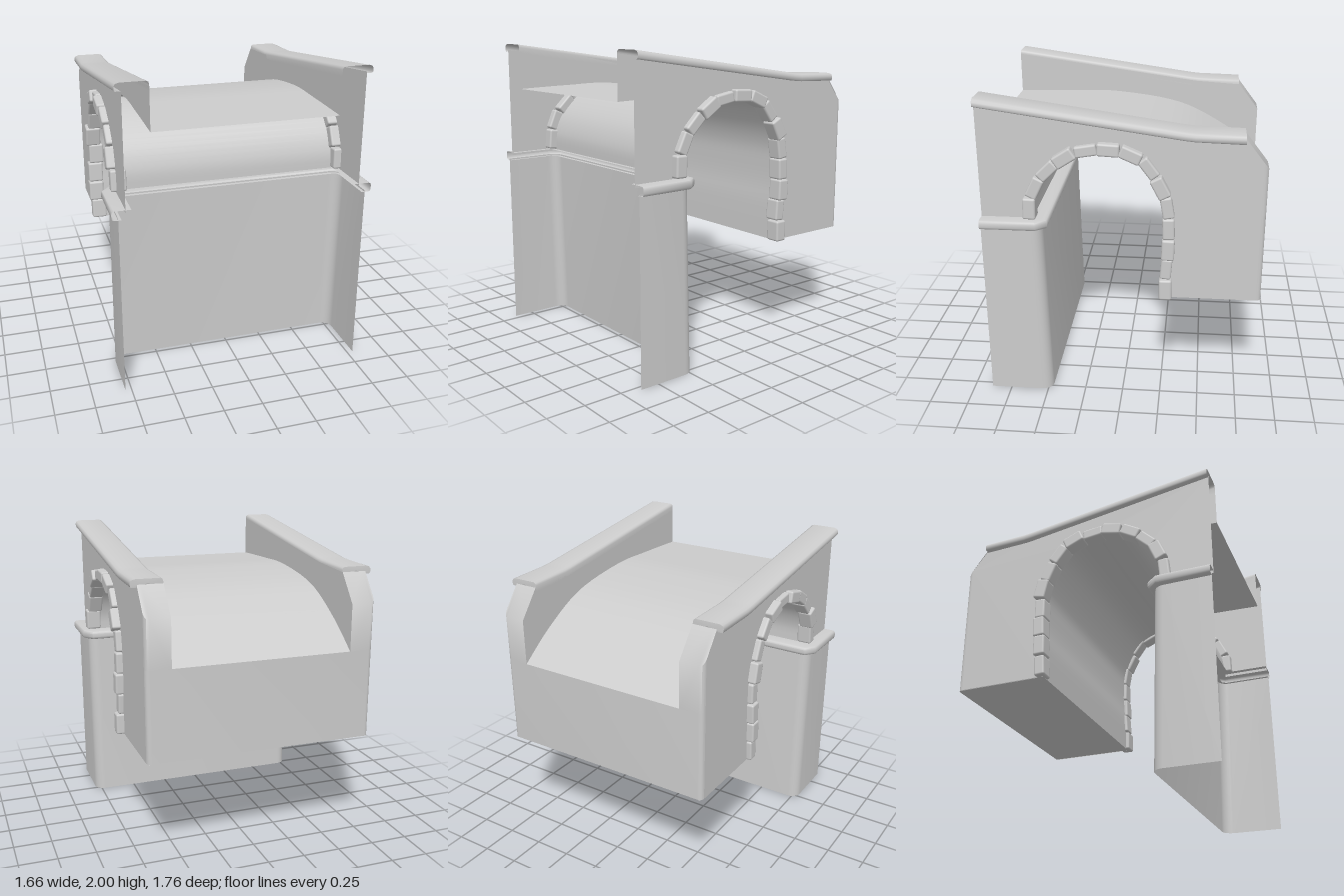
import * as THREE from 'three';
import { toCreasedNormals } from 'three/addons/utils/BufferGeometryUtils.js';
import { RoundedBoxGeometry } from 'three/addons/geometries/RoundedBoxGeometry.js';

const material = new THREE.MeshStandardMaterial({ color: 0xcccccc, side: THREE.DoubleSide });

const WALL = 0.745, INNER = 0.585, BACK = -0.88, FRONT = 0.88, BOTTOM = 0.72;
const v2 = (a, b) => new THREE.Vector2(a, b);

// Arch centre line through the stones, as (z, y), from the pier to the far foot
const archLine = new THREE.SplineCurve([
  [0.57, 1.245], [0.565, 1.35], [0.52, 1.47], [0.44, 1.57], [0.33, 1.655], [0.2, 1.695],
  [0.08, 1.705], [-0.045, 1.68], [-0.15, 1.61], [-0.235, 1.48], [-0.28, 1.345],
  [-0.29, 1.21], [-0.29, 1.08], [-0.28, 0.945], [-0.275, 0.72],
].map(([z, y]) => v2(z, y)));

// Opening edge, slightly inside the stone line
const N = 48;
const opening = Array.from({ length: N + 1 }, (_, i) => {
  const p = archLine.getPointAt(i / N), t = archLine.getTangentAt(i / N);
  return v2(p.x - t.y * 0.015, p.y + t.x * 0.015);
});
opening[0].y = 1.24;
opening[N].y = BOTTOM;

// Road surface as (z, y), falling towards the back
const road = new THREE.SplineCurve([
  [FRONT, 1.7], [0.5, 1.71], [0.15, 1.71], [-0.3, 1.64], [-0.63, 1.48], [BACK, 1.3],
].map(([z, y]) => v2(z, y))).getPoints(30);

// Surface through rows of equally many [x, y, z] points
function loft(rows, crease = 0.6) {
  const n = rows[0].length, index = [];
  for (let r = 0; r < rows.length - 1; r++) {
    for (let c = 0; c < n - 1; c++) {
      const a = r * n + c, b = a + n;
      index.push(a, b, a + 1, a + 1, b, b + 1);
    }
  }
  const g = new THREE.BufferGeometry();
  g.setAttribute('position', new THREE.Float32BufferAttribute(rows.flat(2), 3));
  g.setIndex(index);
  return toCreasedNormals(g, crease);
}

// Flat sheet facing sideways, drawn in (z, y)
function sideSheet(points, x) {
  return new THREE.ShapeGeometry(new THREE.Shape(points)).rotateY(-Math.PI / 2).translate(x, 0, 0);
}

// Strip across the full width along a (z, y) line
const across = (line, w) => loft(line.map((p) => [[-w, p.y, p.x], [w, p.y, p.x]]));

// Rounded U-shaped plan, open at the front, as [x, y, z]
function plan(x, z, r, y) {
  const half = [[x, y, FRONT]];
  for (let i = 0; i <= 6; i++) {
    const a = (i / 6) * Math.PI / 2;
    half.push([x - r + r * Math.cos(a), y, z + r - r * Math.sin(a)]);
  }
  return [...half, ...half.map(([px, py, pz]) => [-px, py, pz]).reverse()];
}

export function createModel() {
  const model = new THREE.Group();
  model.name = 'archBridgeEnd';
  const add = (name, geometry, parent = model) => {
    const mesh = new THREE.Mesh(geometry, material);
    mesh.name = name;
    parent.add(mesh);
    return mesh;
  };

  // Pier: thin sheet, slightly flared at the foot
  add('pier', loft([plan(0.79, 0.47, 0.07, 0), plan(0.79, 0.497, 0.07, 1.19)]));

  // Ledge on the pier, a rounded band with cut corners
  const ledgeRow = ([inset, y]) => {
    const half = [
      [0.83 - inset, y, FRONT],
      [0.83 - inset, y, 0.53 + inset * 0.4],
      [0.775 - inset * 0.4, y, 0.462 + inset],
    ];
    return [...half, ...half.map(([x, h, z]) => [-x, h, z]).reverse()];
  };
  add('ledge', loft([[0.12, 1.24], [0.018, 1.24], [0.005, 1.235], [0, 1.222],
    [0, 1.198], [0.005, 1.185], [0.018, 1.18], [0.06, 1.18]].map(ledgeRow), 0.9));

  // Vault, road, foot and lower back face
  add('vault', across(opening, WALL));
  add('road', across(road, INNER));
  add('footUnderside', across([v2(opening[N].x, BOTTOM), v2(-0.85, BOTTOM), v2(BACK, BOTTOM)], 0.735));

  const R = 0.03;
  const corner = Array.from({ length: 6 }, (_, i) => {
    const a = (i / 5) * Math.PI / 2;
    return [WALL - R + R * Math.cos(a), BACK + R - R * Math.sin(a)];
  });
  const backPlan = [...corner, ...corner.map(([x, z]) => [-x, z]).reverse()];
  add('backFace', loft([BOTTOM, 1.3].map((y) => backPlan.map(([x, z]) => [x, y, z]))));

  // Each side: wall, parapet and arch stones
  for (const [side, s] of [['left', 1], ['right', -1]]) {
    const group = new THREE.Group();
    group.name = `${side}Side`;
    model.add(group);

    add('sideWall', sideSheet([
      v2(FRONT, 1.22), v2(opening[0].x, 1.22), ...opening, v2(BACK + R, BOTTOM),
      v2(BACK + R, 1.635), v2(-0.74, 1.77), v2(-0.42, 1.785), v2(FRONT, 1.96),
    ], s * WALL), group);

    add('parapetInnerWall', sideSheet([
      ...road, v2(BACK, 1.6), v2(-0.74, 1.78), v2(-0.42, 1.8), v2(FRONT, 1.975),
    ], s * INNER), group);

    // Back end of the parapet: upright face and sloping shoulder
    const endPlan = [...corner, [INNER, BACK]];
    const shoulderTop = endPlan.map(([x]) => [s * x, 1.78, -0.74]);
    const slopeY = (z) => 1.6 + (z - BACK) * 1.2;
    add('parapetEnd', loft([
      endPlan.map(([x, z]) => [s * x, 1.3, z]),
      endPlan.map(([x, z]) => [s * x, slopeY(z), z]),
      shoulderTop,
    ], 0.8), group);

    // Cap: rounded coping that overhangs the wall, closed at the back
    const capProfile = [[INNER, -0.06], [INNER, -0.02], [0.59, -0.006], [0.605, 0], [0.755, 0],
      [0.776, -0.006], [0.785, -0.02], [0.785, -0.042], [0.778, -0.05], [WALL, -0.05]];
    const capRows = [[FRONT, 2], [-0.38, 1.826], [-0.44, 1.82], [-0.735, 1.812]]
      .map(([z, top]) => capProfile.map(([x, dy]) => [s * x, top + dy, z]));
    capRows.push(capProfile.map(() => [s * 0.68, 1.785, -0.738]));
    add('parapetCap', loft(capRows, 0.9), group);

    // Arch stones with small changes in depth and size
    const stones = new THREE.Group();
    stones.name = 'archStones';
    group.add(stones);
    const count = 14, step = archLine.getLength() / count;
    for (let i = 0; i < count; i++) {
      const u = (i + 0.5) / count;
      const p = archLine.getPointAt(u), t = archLine.getTangentAt(u);
      const wobble = Math.sin(i * 2.4 + s);
      const stone = add('archStone',
        new RoundedBoxGeometry(0.1, step * 0.99, 0.076 + 0.006 * wobble, 2, 0.013), stones);
      stone.position.set(s * (0.738 + 0.01 * wobble), p.y, p.x);
      stone.rotation.x = Math.atan2(t.x, t.y) + 0.04 * wobble;
    }
  }
  return model;
}
